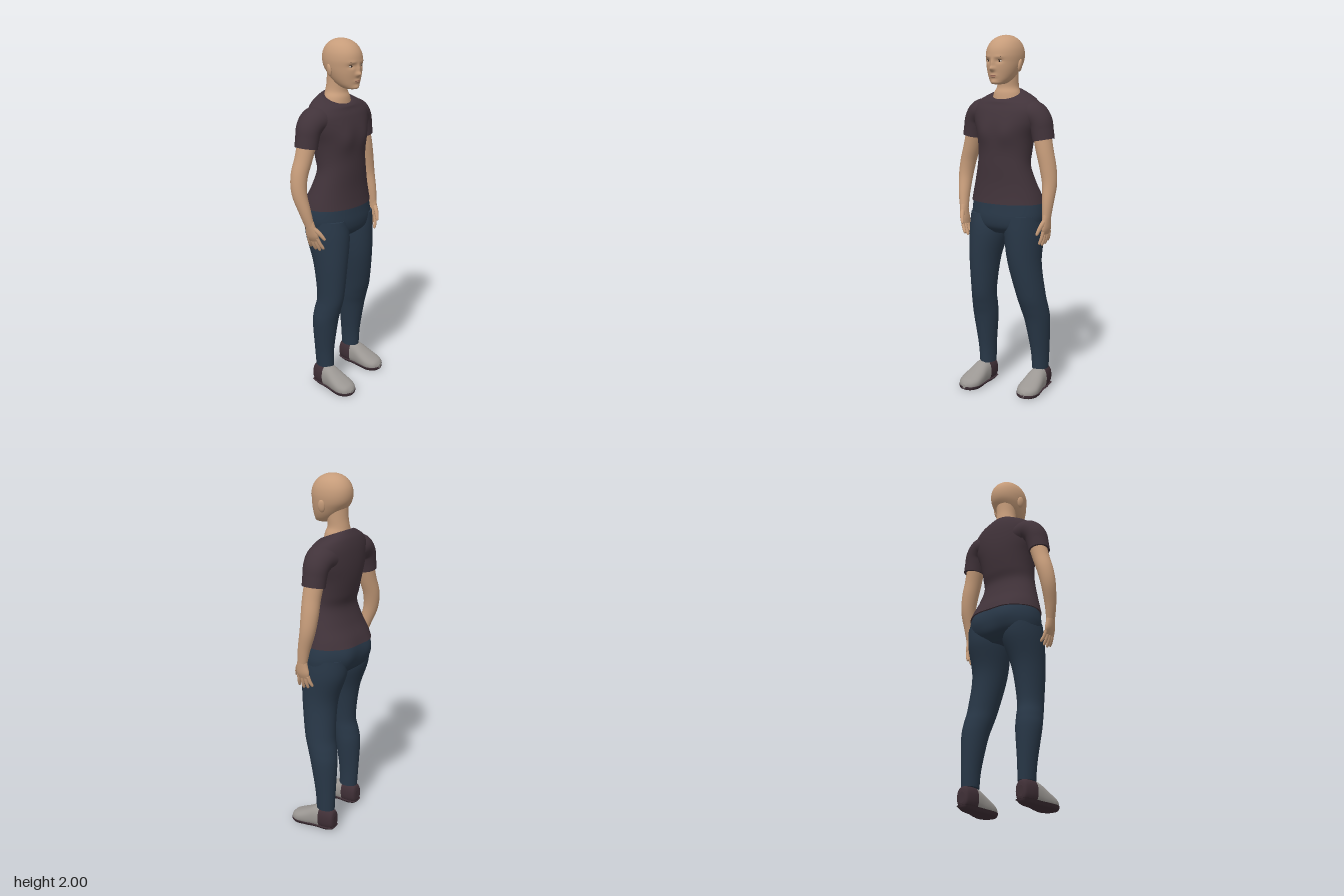
import * as THREE from 'three';

const mat = (name, color) => Object.assign(new THREE.MeshStandardMaterial({ color }), { name });

// Uniform Catmull-Rom value between b and c
const spline = (a, b, c, d, t) =>
  0.5 * (2 * b + (c - a) * t + (2 * a - 5 * b + 4 * c - d) * t * t + (3 * b - a - 3 * c + d) * t * t * t);

// Smooth skin over oval sections [x, y, z, halfWidth, halfDepth, tilt].
// axis fixes the section normal; without it sections follow the path.
function loft(sections, { axis = null, n = 36, steps = 6, p = 2, minY = -9, maxY = 9 } = {}) {
  const rows = [];
  const last = sections.length - 1;
  const at = i => sections[Math.max(0, Math.min(last, i))];
  for (let i = 0; i <= last * steps; i++) {
    const k = Math.min(last - 1, Math.floor(i / steps)), t = i / steps - k;
    rows.push([0, 1, 2, 3, 4, 5].map(c =>
      spline(at(k - 1)[c] ?? 0, at(k)[c] ?? 0, at(k + 1)[c] ?? 0, at(k + 2)[c] ?? 0, t)));
  }
  const pos = [], index = [];
  const sup = v => Math.sign(v) * Math.abs(v) ** (2 / p);
  rows.forEach((r, i) => {
    const q = rows[Math.max(0, i - 1)], s = rows[Math.min(rows.length - 1, i + 1)];
    const t = axis ? axis.clone() : new THREE.Vector3(s[0] - q[0], s[1] - q[1], s[2] - q[2]).normalize();
    const ref = Math.abs(t.z) > 0.9 ? new THREE.Vector3(0, 1, 0) : new THREE.Vector3(0, 0, 1);
    const v = ref.addScaledVector(t, -ref.dot(t)).normalize();
    const u = t.clone().cross(v);
    for (let j = 0; j < n; j++) {
      const a = j / n * Math.PI * 2, cu = sup(Math.cos(a)) * r[3], sv = sup(Math.sin(a)) * r[4];
      const y = r[1] + u.y * cu + v.y * sv + r[5] * sv;
      pos.push(r[0] + u.x * cu + v.x * sv, Math.min(maxY, Math.max(minY, y)), r[2] + u.z * cu + v.z * sv);
    }
  });
  for (let i = 0; i < rows.length - 1; i++) for (let j = 0; j < n; j++) {
    const a = i * n + j, b = i * n + (j + 1) % n;
    index.push(a, a + n, b, b, a + n, b + n);
  }
  // end caps with their own vertices, so the rims stay sharp
  for (const end of [0, rows.length - 1]) {
    const base = pos.length / 3;
    const c = [0, 0, 0];
    for (let j = 0; j < n; j++) for (let k = 0; k < 3; k++) {
      const w = pos[(end * n + j) * 3 + k];
      pos.push(w);
      c[k] += w / n;
    }
    pos.push(...c);
    for (let j = 0; j < n; j++) {
      const a = base + j, b = base + (j + 1) % n;
      end ? index.push(base + n, b, a) : index.push(base + n, a, b);
    }
  }
  const g = new THREE.BufferGeometry();
  g.setAttribute('position', new THREE.Float32BufferAttribute(pos, 3));
  g.setIndex(index);
  g.computeVertexNormals();
  return g;
}

// Pushes the surface along z around a point with a soft falloff
function bump(g, x, y, z, rx, ry, dz) {
  const a = g.attributes.position;
  for (let i = 0; i < a.count; i++) {
    if (Math.abs(a.getZ(i) - z) > 0.1) continue;
    const f = Math.exp(-(((a.getX(i) - x) / rx) ** 2) - ((a.getY(i) - y) / ry) ** 2);
    a.setZ(i, a.getZ(i) + dz * f);
  }
  g.computeVertexNormals();
}

export function createModel() {
  const root = new THREE.Group();
  root.name = 'standingPerson';
  const skin = mat('skin', 0xc69c7a), shirt = mat('shirt', 0x41333a), denim = mat('trousers', 0x283747);
  const shoe = mat('shoeUpper', 0x9b9793), sole = mat('shoeSole', 0x3f2f36);
  const white = mat('eyeWhite', 0xc8bdb2), dark = mat('eyeDark', 0x33261f), lip = mat('lips', 0xa87360);
  const add = (name, geo, m, parent = root) => {
    const mesh = new THREE.Mesh(geo, m);
    mesh.name = name;
    parent.add(mesh);
    return mesh;
  };
  const down = new THREE.Vector3(0, -1, 0), forward = new THREE.Vector3(0, 0, 1);

  // Shirt body
  const body = loft([
    [0.01, 1.682, -0.035, 0.094, 0.076, -0.4], [0.01, 1.67, -0.035, 0.13, 0.086, -0.33],
    [0.012, 1.645, -0.04, 0.18, 0.098, -0.2], [0.014, 1.6, -0.037, 0.208, 0.113, -0.08],
    [0.014, 1.53, -0.03, 0.198, 0.124], [0.012, 1.45, -0.024, 0.17, 0.124],
    [0.012, 1.36, -0.015, 0.158, 0.116], [0.012, 1.29, -0.006, 0.16, 0.108],
    [0.012, 1.2, -0.02, 0.184, 0.121], [0.013, 1.13, -0.035, 0.206, 0.14], [0.014, 1.085, -0.04, 0.218, 0.15],
  ], { axis: down, n: 64, p: 2.15 });
  // Trouser seat
  const seat = loft([
    [0.015, 1.13, -0.035, 0.198, 0.132], [0.016, 1.06, -0.04, 0.216, 0.145], [0.018, 1, -0.037, 0.219, 0.147],
    [0.02, 0.95, -0.034, 0.2, 0.133], [0.02, 0.915, -0.03, 0.12, 0.09],
  ], { axis: down, n: 64, p: 2.15 });
  for (const s of [-1, 1]) {
    bump(body, 0.012 + s * 0.075, 1.47, 0.1, 0.055, 0.06, 0.014);
    for (const g of [body, seat]) bump(g, 0.017 + s * 0.1, 1.03, -0.17, 0.07, 0.08, -0.018);
  }
  add('shirtBody', body, shirt);
  add('trouserSeat', seat, denim);

  // Trouser legs
  add('rightLeg', loft([
    [-0.1, 1.02, -0.03, 0.095, 0.13], [-0.093, 0.92, -0.018, 0.107, 0.134], [-0.105, 0.76, 0.012, 0.085, 0.104],
    [-0.111, 0.57, 0.018, 0.068, 0.083], [-0.117, 0.48, 0, 0.069, 0.08], [-0.12, 0.4, -0.015, 0.069, 0.075],
    [-0.117, 0.23, -0.025, 0.05, 0.06], [-0.113, 0.122, -0.025, 0.044, 0.056],
  ], { axis: down }), denim);
  add('leftLeg', loft([
    [0.133, 1.02, -0.04, 0.1, 0.135], [0.132, 0.92, -0.035, 0.107, 0.135], [0.143, 0.76, -0.015, 0.093, 0.105],
    [0.172, 0.57, -0.036, 0.081, 0.09], [0.184, 0.48, -0.06, 0.077, 0.085], [0.193, 0.4, -0.078, 0.07, 0.078],
    [0.201, 0.23, -0.094, 0.051, 0.061], [0.203, 0.122, -0.096, 0.044, 0.055],
  ], { axis: down }), denim);

  // Shoes: dark heel, pale front, dark sole
  const heel = [[0, 0.06, 0, 0.02, 0.03], [0, 0.064, 0.01, 0.036, 0.055], [0, 0.065, 0.05, 0.046, 0.067], [0, 0.065, 0.09, 0.049, 0.068]];
  const front = [[0, 0.065, 0.09, 0.049, 0.068], [0, 0.06, 0.13, 0.053, 0.064], [0, 0.045, 0.18, 0.061, 0.051],
    [0, 0.033, 0.23, 0.063, 0.039], [0, 0.026, 0.268, 0.045, 0.028], [0, 0.02, 0.285, 0.012, 0.012]];
  const lower = [...heel, ...front.slice(1)].map(([x, y, z, a, b]) => [x, y, z, a * 1.04 + 0.001, b + 0.004]);
  for (const [name, x, z, yaw] of [['right', -0.117, -0.09, -0.05], ['left', 0.204, -0.165, 0.06]]) {
    const foot = new THREE.Group();
    foot.name = name + 'Shoe';
    foot.position.set(x, 0, z);
    foot.rotation.y = yaw;
    const opt = { axis: forward, p: 2.3, minY: 0.004 };
    add('shoeHeel', loft(heel, opt), sole, foot);
    add('shoeFront', loft(front, opt), shoe, foot);
    add('shoeSole', loft(lower, { axis: forward, p: 3, minY: 0, maxY: 0.02 }), sole, foot);
    root.add(foot);
  }

  // Sleeves
  const sleeve = [[-0.1, 1.572, -0.045, 0.075, 0.09], [-0.162, 1.575, -0.048, 0.074, 0.084],
    [-0.203, 1.54, -0.05, 0.066, 0.074], [-0.218, 1.49, -0.05, 0.061, 0.068], [-0.228, 1.438, -0.05, 0.059, 0.066]];
  add('rightSleeve', loft(sleeve), shirt);
  add('leftSleeve', loft(sleeve.map(([x, ...r]) => [0.013 - x, ...r])), shirt);

  // Bare arms
  add('rightArm', loft([
    [-0.215, 1.48, -0.05, 0.05, 0.055], [-0.245, 1.38, -0.055, 0.047, 0.05], [-0.275, 1.29, -0.06, 0.045, 0.048],
    [-0.287, 1.2, -0.05, 0.04, 0.043], [-0.277, 1.1, -0.02, 0.031, 0.035], [-0.263, 1.02, 0, 0.022, 0.029],
  ]), skin);
  add('leftArm', loft([
    [0.228, 1.48, -0.05, 0.05, 0.055], [0.252, 1.38, -0.045, 0.047, 0.052], [0.272, 1.29, -0.047, 0.045, 0.05],
    [0.286, 1.2, -0.042, 0.04, 0.044], [0.289, 1.1, -0.02, 0.031, 0.036], [0.29, 1.02, -0.008, 0.022, 0.029],
  ]), skin);

  // Hands with curled fingers; s points from the hand to the body
  for (const [name, s, x, z, rx, rz] of [['right', 1, -0.263, 0, -0.16, 0.16], ['left', -1, 0.29, -0.008, -0.02, 0]]) {
    const hand = new THREE.Group();
    hand.name = name + 'Hand';
    hand.position.set(x, 1.03, z);
    hand.rotation.set(rx, 0, rz);
    add('palm', loft([[0, 0.01, 0, 0.021, 0.028], [0, -0.03, 0, 0.019, 0.035],
      [s * 0.002, -0.07, -0.003, 0.017, 0.041], [s * 0.006, -0.1, -0.005, 0.01, 0.034]], { n: 20 }), skin, hand);
    for (let i = 0; i < 4; i++) {
      const fz = 0.027 - i * 0.021, len = [0.066, 0.076, 0.07, 0.054][i], out = -0.004 * (i - 1);
      add('finger' + (i + 1), loft([[s * 0.004, -0.085, fz, 0.01, 0.01], [s * 0.011, -0.09 - len * 0.5, fz + out, 0.0095, 0.0095],
        [s * 0.022, -0.09 - len * 0.95, fz + out * 2, 0.0075, 0.0075], [s * 0.024, -0.09 - len, fz + out * 2, 0.002, 0.002]],
      { n: 12, steps: 4 }), skin, hand);
    }
    add('thumb', loft([[0, -0.025, 0.02, 0.013, 0.014], [s * 0.012, -0.06, 0.043, 0.012, 0.012],
      [s * 0.024, -0.098, 0.058, 0.008, 0.008], [s * 0.026, -0.105, 0.06, 0.002, 0.002]], { n: 12, steps: 4 }), skin, hand);
    root.add(hand);
  }

  // Neck
  add('neck', loft([[0.016, 1.84, -0.035, 0.06, 0.06], [0.015, 1.77, -0.038, 0.058, 0.058],
    [0.012, 1.72, -0.042, 0.061, 0.06], [0.01, 1.685, -0.038, 0.077, 0.068], [0.01, 1.63, -0.035, 0.09, 0.072]], { axis: down }), skin);

  // Head, slightly turned to its right
  const head = new THREE.Group();
  head.name = 'head';
  head.position.x = 0.019;
  head.rotation.y = -0.06;
  root.add(head);
  const skull = loft([
    [0, 2, -0.012, 0.002, 0.002], [0, 1.993, -0.012, 0.035, 0.043], [0, 1.97, -0.01, 0.069, 0.083],
    [0, 1.935, -0.008, 0.089, 0.109], [0, 1.895, -0.006, 0.096, 0.118], [0, 1.855, -0.003, 0.093, 0.113],
    [0, 1.82, 0.008, 0.085, 0.1], [0, 1.785, 0.022, 0.072, 0.081], [0, 1.757, 0.038, 0.055, 0.061],
    [0, 1.74, 0.052, 0.034, 0.042], [0, 1.735, 0.055, 0.004, 0.005],
  ], { axis: down, n: 96, steps: 9, p: 2.1 });
  bump(skull, 0, 1.845, 0.11, 0.009, 0.025, 0.013);  // nose bridge
  bump(skull, 0, 1.82, 0.11, 0.014, 0.012, 0.02);   // nose tip
  bump(skull, 0, 1.782, 0.1, 0.022, 0.012, 0.007);  // mouth
  bump(skull, 0, 1.75, 0.095, 0.022, 0.013, 0.008); // chin
  for (const s of [-1, 1]) {
    bump(skull, s * 0.038, 1.863, 0.1, 0.018, 0.012, -0.008);
    bump(skull, s * 0.036, 1.884, 0.1, 0.022, 0.008, 0.003);
  }
  add('skull', skull, skin, head);

  // Face details and ears
  const oval = (name, m, x, y, z, sx, sy, sz, yaw = 0, roll = 0) => {
    const o = add(name, new THREE.SphereGeometry(1, 20, 14), m, head);
    o.position.set(x, y, z);
    o.scale.set(sx, sy, sz);
    o.rotation.set(0, yaw, roll);
  };
  for (const s of [-1, 1]) {
    oval('eye', white, s * 0.038, 1.862, 0.09, 0.014, 0.0055, 0.007, s * 0.35);
    oval('iris', dark, s * 0.037, 1.862, 0.0945, 0.0055, 0.005, 0.004, s * 0.35);
    oval('lashLine', dark, s * 0.039, 1.868, 0.092, 0.016, 0.002, 0.006, s * 0.35, -s * 0.08);
    oval('eyebrow', dark, s * 0.039, 1.884, 0.1005, 0.018, 0.0018, 0.004, s * 0.38, -s * 0.08);
    oval('ear', skin, s * 0.095, 1.838, -0.012, 0.011, 0.034, 0.02, s * 0.35, -s * 0.15);
  }
  oval('upperLip', lip, 0, 1.785, 0.1045, 0.02, 0.0035, 0.006);
  oval('lowerLip', lip, 0, 1.778, 0.1035, 0.017, 0.004, 0.006);
  return root;
}
